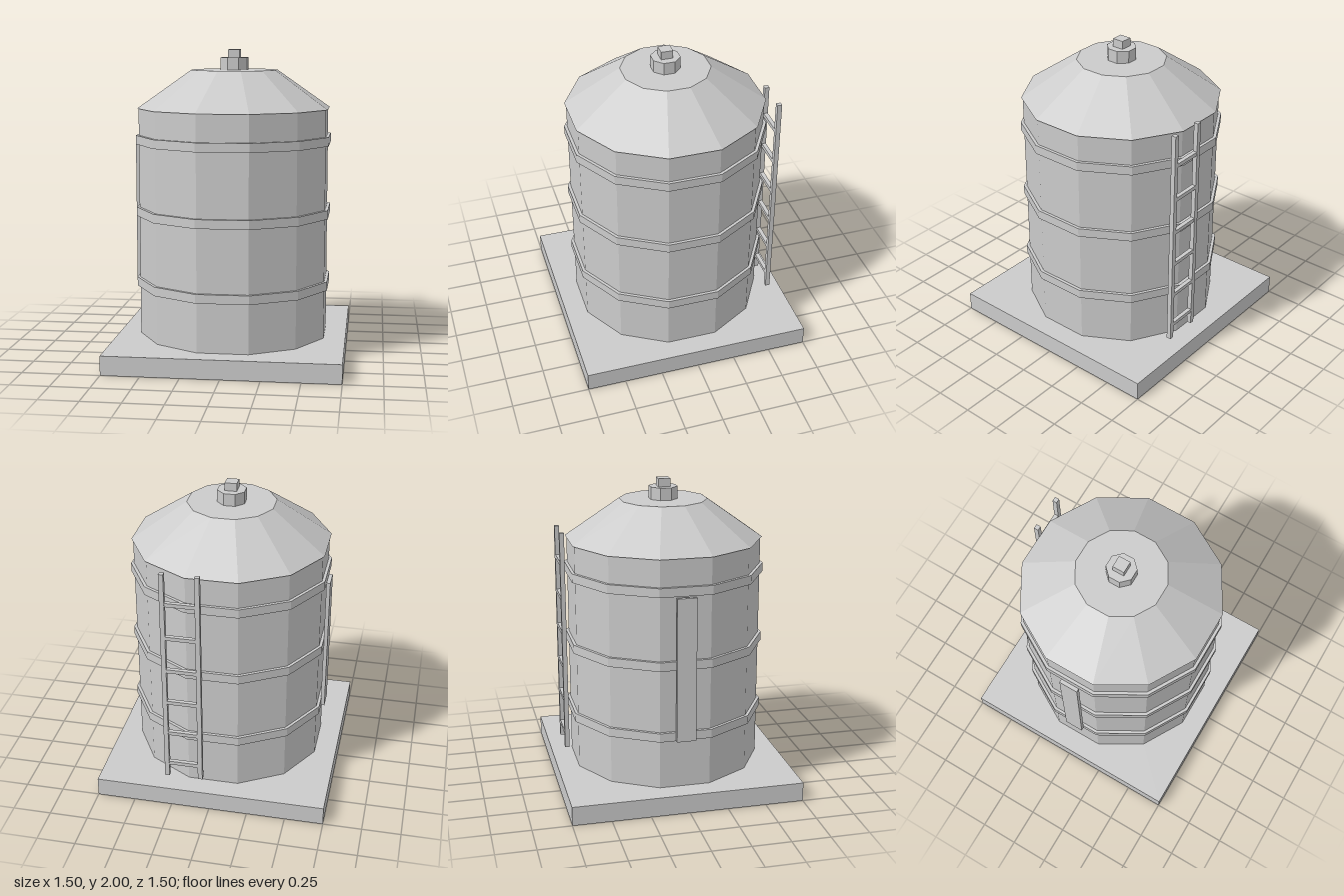
import * as THREE from 'three';

const material = new THREE.MeshStandardMaterial({ color: 0xcccccc, flatShading: true });

export function createModel() {
  const model = new THREE.Group();
  model.name = 'storageTank';

  const add = (name, geometry, x, y, z, parent = model) => {
    const mesh = new THREE.Mesh(geometry, material);
    mesh.name = name;
    mesh.position.set(x, y, z);
    parent.add(mesh);
    return mesh;
  };

  // Regular prism or frustum with a flat side facing each axis; radii measured to the flats
  const prism = (name, sides, topApothem, bottomApothem, y0, y1) => {
    const k = 1 / Math.cos(Math.PI / sides);
    const geometry = new THREE.CylinderGeometry(topApothem * k, bottomApothem * k, y1 - y0, sides);
    geometry.rotateY(Math.PI / sides);
    return add(name, geometry, 0, (y0 + y1) / 2, 0);
  };

  // Square plinth
  add('base', new THREE.BoxGeometry(1.5, 0.125, 1.5), 0, 0.0625, 0);

  // Twelve-sided tank and its sloping roof
  prism('tankBody', 12, 0.608, 0.608, 0.125, 1.62);
  prism('roof', 12, 0.275, 0.618, 1.62, 1.868);

  // Hoops around the tank
  [0.475, 0.945, 1.417].forEach((y, i) => prism(`hoop${i + 1}`, 12, 0.627, 0.627, y - 0.029, y + 0.029));

  // Vent with a small square knob
  prism('vent', 8, 0.087, 0.087, 1.868, 1.948);
  add('ventKnob', new THREE.BoxGeometry(0.077, 0.052, 0.077), 0, 1.974, 0);

  // Level gauge strip on the side
  add('levelGauge', new THREE.BoxGeometry(0.025, 0.935, 0.125), -0.637, 0.913, 0);

  // Ladder on the back
  const ladder = new THREE.Group();
  ladder.name = 'ladder';
  ladder.position.set(0.185, 0, -0.653);
  model.add(ladder);
  for (const side of [-1, 1]) {
    add('ladderRail', new THREE.BoxGeometry(0.03, 1.487, 0.03), side * 0.11, 0.912, 0, ladder);
  }
  for (let i = 0; i < 6; i++) {
    add('ladderRung', new THREE.BoxGeometry(0.19, 0.025, 0.027), 0, 0.27 + i * 0.236, 0, ladder);
  }

  return model;
}
